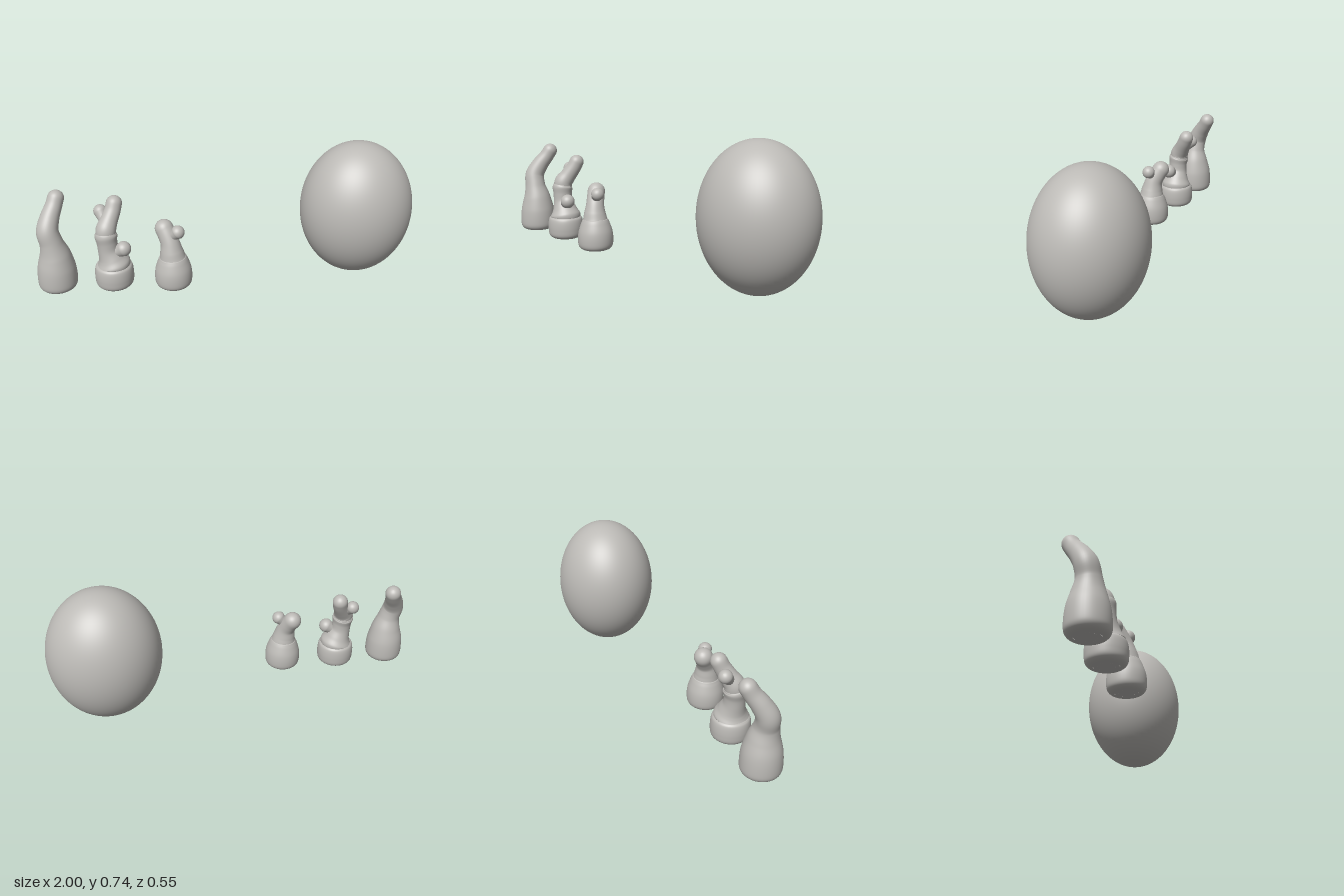
import * as THREE from 'three';

const SIDES = 40;
const clay = new THREE.MeshStandardMaterial({ color: 0xbcbab6 });
clay.name = 'clayGrey';

// Sweeps circles along a spline through [x, y, z, radius] points.
// A domed end finishes in a hemisphere, otherwise the end is closed flat.
function sweep(name, pts, domed) {
  const path = new THREE.CatmullRomCurve3(
    pts.map((p) => new THREE.Vector3(p[0], p[1], p[2])), false, 'catmullrom', 0.5);
  const radii = new THREE.CatmullRomCurve3(
    pts.map((p) => new THREE.Vector3(p[3], 0, 0)), false, 'catmullrom', 0.5);
  const rings = [];
  const steps = (pts.length - 1) * 7;
  for (let i = 0; i <= steps; i++) {
    const t = i / steps;
    rings.push([path.getPoint(t), path.getTangent(t), Math.max(radii.getPoint(t).x, 0.0005)]);
  }
  const [end, dir, r] = rings[steps];
  if (domed) {
    for (let i = 1; i <= 10; i++) {
      const a = (i / 10) * Math.PI / 2;
      rings.push([end.clone().addScaledVector(dir, r * Math.sin(a)), dir, Math.max(r * Math.cos(a), 0.0005)]);
    }
  } else {
    rings.push([end.clone().addScaledVector(dir, 0.002), dir, r * 0.9]);
    rings.push([end.clone().addScaledVector(dir, 0.002), dir, 0.0005]);
  }
  const pos = [];
  const index = [];
  const ref = new THREE.Vector3(0, 0, 1);
  rings.forEach(([c, t, rad], i) => {
    const u = new THREE.Vector3().crossVectors(t, ref).normalize();
    const v = new THREE.Vector3().crossVectors(u, t);
    for (let j = 0; j < SIDES; j++) {
      const a = (j / SIDES) * Math.PI * 2;
      const p = c.clone().addScaledVector(u, rad * Math.cos(a)).addScaledVector(v, rad * Math.sin(a));
      pos.push(p.x, p.y, p.z);
      if (i < rings.length - 1) {
        const k = (j + 1) % SIDES;
        const A = i * SIDES + j, B = i * SIDES + k;
        index.push(A, A + SIDES, B, B, A + SIDES, B + SIDES);
      }
    }
  });
  const g = new THREE.BufferGeometry();
  g.setAttribute('position', new THREE.Float32BufferAttribute(pos, 3));
  g.setIndex(index);
  g.computeVertexNormals();
  const mesh = new THREE.Mesh(g, clay);
  mesh.name = name;
  return mesh;
}

// Rounded flat foot shared by all three stalks
const foot = (x, y, z, r) => [
  [x, y, z, 0.0005], [x, y + 0.001, z, r * 0.4], [x, y + 0.003, z, r * 0.75],
  [x, y + 0.02, z, r * 0.95], [x, y + 0.055, z, r],
];

function group(name, ...parts) {
  const g = new THREE.Group();
  g.name = name;
  g.add(...parts);
  return g;
}

export function createModel() {
  const model = new THREE.Group();
  model.name = 'eggAndStalks';

  // Large egg
  const egg = new THREE.Mesh(new THREE.SphereGeometry(1, 72, 48), clay);
  egg.name = 'egg';
  egg.scale.set(0.3, 0.37, 0.276);
  egg.position.set(0.7, 0.372, -0.002);
  model.add(egg);

  // Tall single stalk, bending left and then back
  model.add(group('tallStalk', sweep('tallStem', [
    ...foot(-0.898, 0.055, 0.155, 0.102),
    [-0.898, 0.18, 0.155, 0.097],
    [-0.899, 0.25, 0.157, 0.08],
    [-0.909, 0.32, 0.16, 0.06],
    [-0.923, 0.385, 0.152, 0.056],
    [-0.909, 0.445, 0.122, 0.049],
    [-0.888, 0.495, 0.088, 0.043],
    [-0.876, 0.53, 0.068, 0.042],
  ], true)));

  // Middle stalk in three stacked pieces with two buds
  model.add(group('buddedStalk',
    sweep('lowerPiece', [
      ...foot(-0.604, 0.055, 0.157, 0.101),
      [-0.604, 0.145, 0.157, 0.1],
      [-0.604, 0.17, 0.157, 0.095],
      [-0.604, 0.181, 0.157, 0.086],
    ], false),
    sweep('middlePiece', [
      [-0.604, 0.176, 0.157, 0.084],
      [-0.605, 0.19, 0.157, 0.086],
      [-0.612, 0.22, 0.157, 0.07],
      [-0.625, 0.265, 0.157, 0.055],
      [-0.63, 0.31, 0.156, 0.053],
      [-0.633, 0.345, 0.153, 0.058],
      [-0.633, 0.36, 0.15, 0.053],
    ], false),
    sweep('upperPiece', [
      [-0.633, 0.35, 0.152, 0.052],
      [-0.63, 0.38, 0.146, 0.052],
      [-0.615, 0.415, 0.125, 0.046],
      [-0.595, 0.46, 0.1, 0.042],
      [-0.585, 0.495, 0.084, 0.041],
    ], true),
    sweep('upperBud', [
      [-0.63, 0.39, 0.135, 0.022], [-0.645, 0.425, 0.105, 0.028], [-0.658, 0.452, 0.082, 0.035],
    ], true),
    sweep('lowerBud', [
      [-0.61, 0.245, 0.165, 0.022], [-0.572, 0.265, 0.174, 0.032], [-0.548, 0.279, 0.18, 0.04],
    ], true),
  ));

  // Short stalk in two pieces with one bud
  model.add(group('shortStalk',
    sweep('lowerPiece', [
      ...foot(-0.296, 0.05, 0.177, 0.098),
      [-0.296, 0.15, 0.177, 0.094],
      [-0.297, 0.195, 0.177, 0.08],
      [-0.298, 0.22, 0.177, 0.069],
    ], false),
    sweep('upperPiece', [
      [-0.298, 0.215, 0.177, 0.068],
      [-0.302, 0.25, 0.175, 0.06],
      [-0.308, 0.295, 0.168, 0.05],
      [-0.322, 0.335, 0.152, 0.048],
      [-0.336, 0.365, 0.136, 0.048],
    ], true),
    sweep('bud', [
      [-0.31, 0.32, 0.165, 0.02], [-0.286, 0.345, 0.175, 0.028], [-0.268, 0.362, 0.181, 0.036],
    ], true),
  ));

  return model;
}
